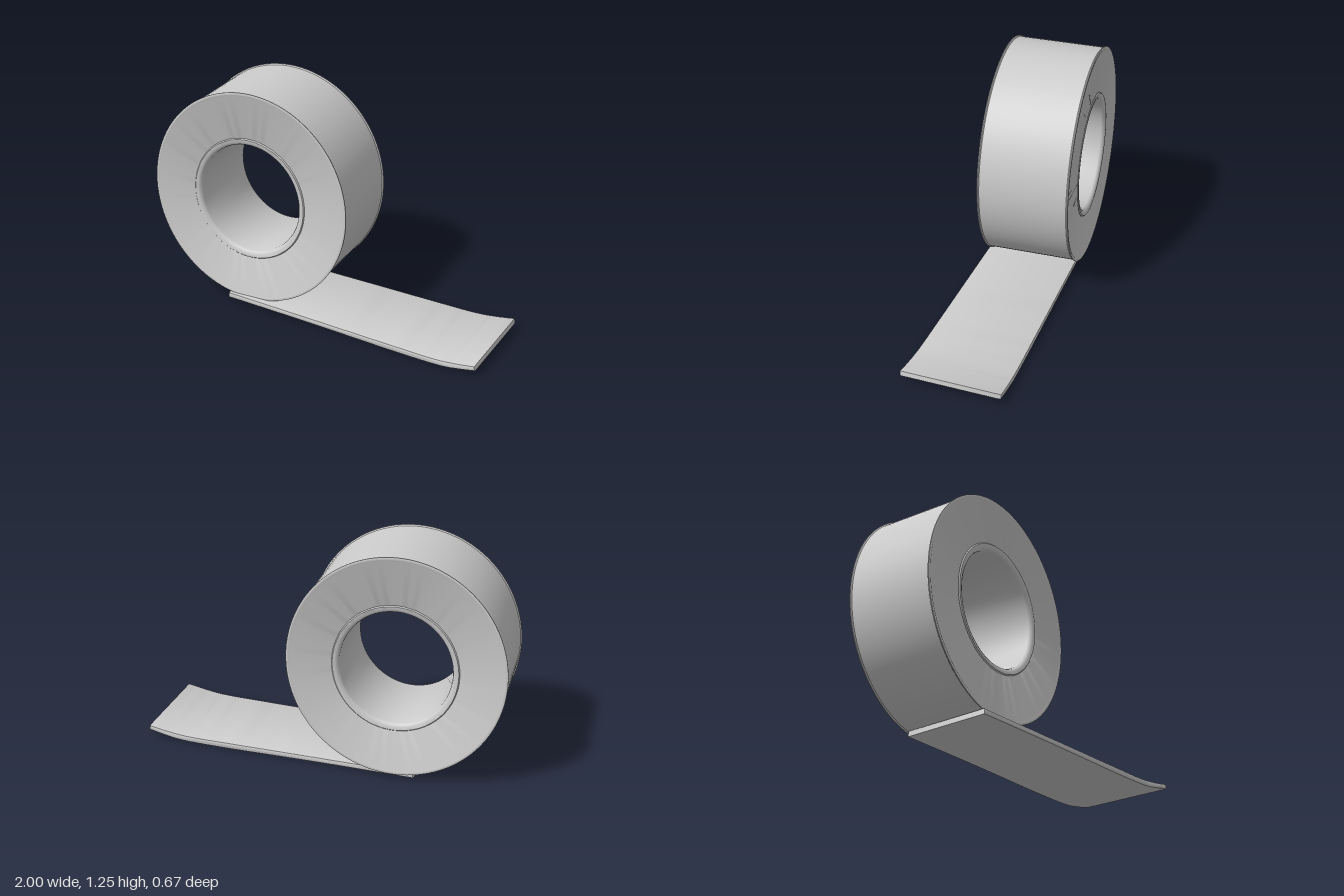
import * as THREE from 'three';
import { toCreasedNormals } from 'three/addons/utils/BufferGeometryUtils.js';

const grey = new THREE.MeshStandardMaterial({ color: 0xcccccc });
grey.name = 'light grey';

// Closed half profile of the roll, mirrored to both faces, as [radius, half width]
function rollGeometry() {
  const half = [
    [0.574, 0.238], [0.58, 0.243], [0.58, 0.248], [0.575, 0.25], [0.565, 0.249], [0.558, 0.245],
    [0.342, 0.245], [0.335, 0.241], [0.33, 0.247], [0.315, 0.246], [0.302, 0.238], [0.297, 0.225],
  ];
  const pts = [
    ...half.slice().reverse().map(([r, w]) => new THREE.Vector2(r, -w)),
    ...half.map(([r, w]) => new THREE.Vector2(r, w)),
  ];
  pts.push(pts[0].clone());
  const geo = new THREE.LatheGeometry(pts, 96);
  geo.rotateX(Math.PI / 2);
  geo.scale(1, 1.055, 1); // slightly taller than wide
  return toCreasedNormals(geo, 0.7);
}

// Side outline with a curled tip, extruded across and skewed into place
function stripGeometry() {
  const curve = (list) => new THREE.SplineCurve(list.map(([x, y]) => new THREE.Vector2(x, y))).getPoints(28);
  const top = curve([[-0.525, 0.045], [0, 0.041], [0.5, 0.036], [0.75, 0.035], [0.88, 0.046], [0.995, 0.065]]);
  const bottom = curve([[1, 0.038], [0.9, 0.017], [0.78, 0.002], [0.5, 0.001], [0, 0.01], [-0.53, 0.014]]);
  const bevel = 0.008;
  const geo = new THREE.ExtrudeGeometry(new THREE.Shape([...bottom, ...top]), {
    depth: 0.5 - 2 * bevel, bevelEnabled: true, bevelSize: bevel, bevelOffset: -bevel,
    bevelThickness: bevel, bevelSegments: 2,
  });
  const p = geo.attributes.position;
  for (let i = 0; i < p.count; i++) {
    const v = (p.getZ(i) + bevel) / 0.5; // 0 at the back edge, 1 at the front edge
    const x = p.getX(i) - 0.03 * v;
    const back = -0.275 + 0.066 * (x - 0.16);
    const front = 0.18 + 0.1 * (x + 0.56);
    p.setX(i, x);
    p.setZ(i, THREE.MathUtils.lerp(back, front, v));
  }
  return toCreasedNormals(geo, 0.7);
}

export function createModel() {
  const group = new THREE.Group();
  group.name = 'tapeRoll';

  const roll = new THREE.Mesh(rollGeometry(), grey);
  roll.name = 'roll';
  roll.position.set(-0.42, 0.643, -0.085);

  const strip = new THREE.Mesh(stripGeometry(), grey);
  strip.name = 'looseStrip';

  group.add(roll, strip);
  return group;
}
